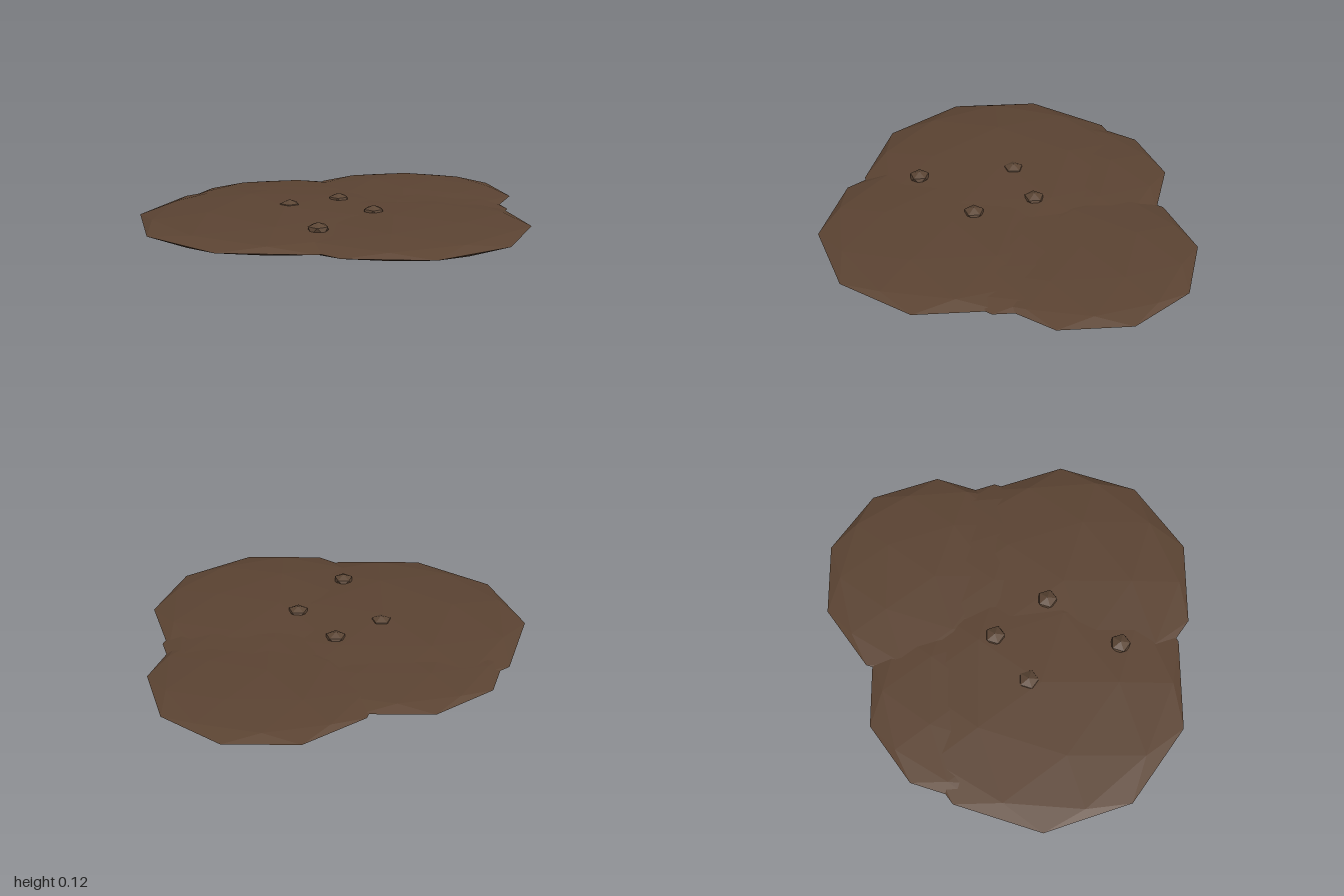
import * as THREE from 'three';

// Faceted ball with a vertex at each pole and a ten-sided equator
function facetedBall(detail) {
  const g = new THREE.IcosahedronGeometry(1, detail);
  g.rotateX(-Math.atan((1 + Math.sqrt(5)) / 2));
  g.rotateY(Math.PI / 2);
  return g;
}

export function createModel() {
  const group = new THREE.Group();
  const mud = new THREE.MeshStandardMaterial({ color: 0x5c4433, flatShading: true });
  mud.name = 'mud brown';
  const clod = new THREE.MeshStandardMaterial({ color: 0x5c4635, flatShading: true });
  clod.name = 'clod brown';

  const lobeGeometry = facetedBall(1);
  const clodGeometry = facetedBall(0);

  function add(name, geometry, material, x, y, z, radius, height) {
    const mesh = new THREE.Mesh(geometry, material);
    mesh.name = name;
    mesh.position.set(x, y, z);
    mesh.scale.set(radius, height, radius);
    group.add(mesh);
  }

  // Overlapping flattened lobes of the puddle: x, z, radius
  const lobes = [
    ['backRightLobe', -0.308, -0.205, 0.728],
    ['frontLobe', -0.09, 0.30, 0.66],
    ['leftLobe', 0.458, -0.058, 0.57],
    ['backLobe', -0.08, -0.41, 0.56],
    ['middleLobe', 0.2, 0.1, 0.56],
  ];
  for (const [name, x, z, r] of lobes) add(name, lobeGeometry, mud, x, 0.052, z, r, r * 0.07);

  // Small clods poking out of the surface: x, z
  const clods = [[-0.51, 0.19], [-0.08, 0.17], [0.02, -0.14], [-0.25, -0.23]];
  clods.forEach(([x, z], i) => add(`clod${i + 1}`, clodGeometry, clod, x, 0.091, z, 0.055, 0.034));

  return group;
}
